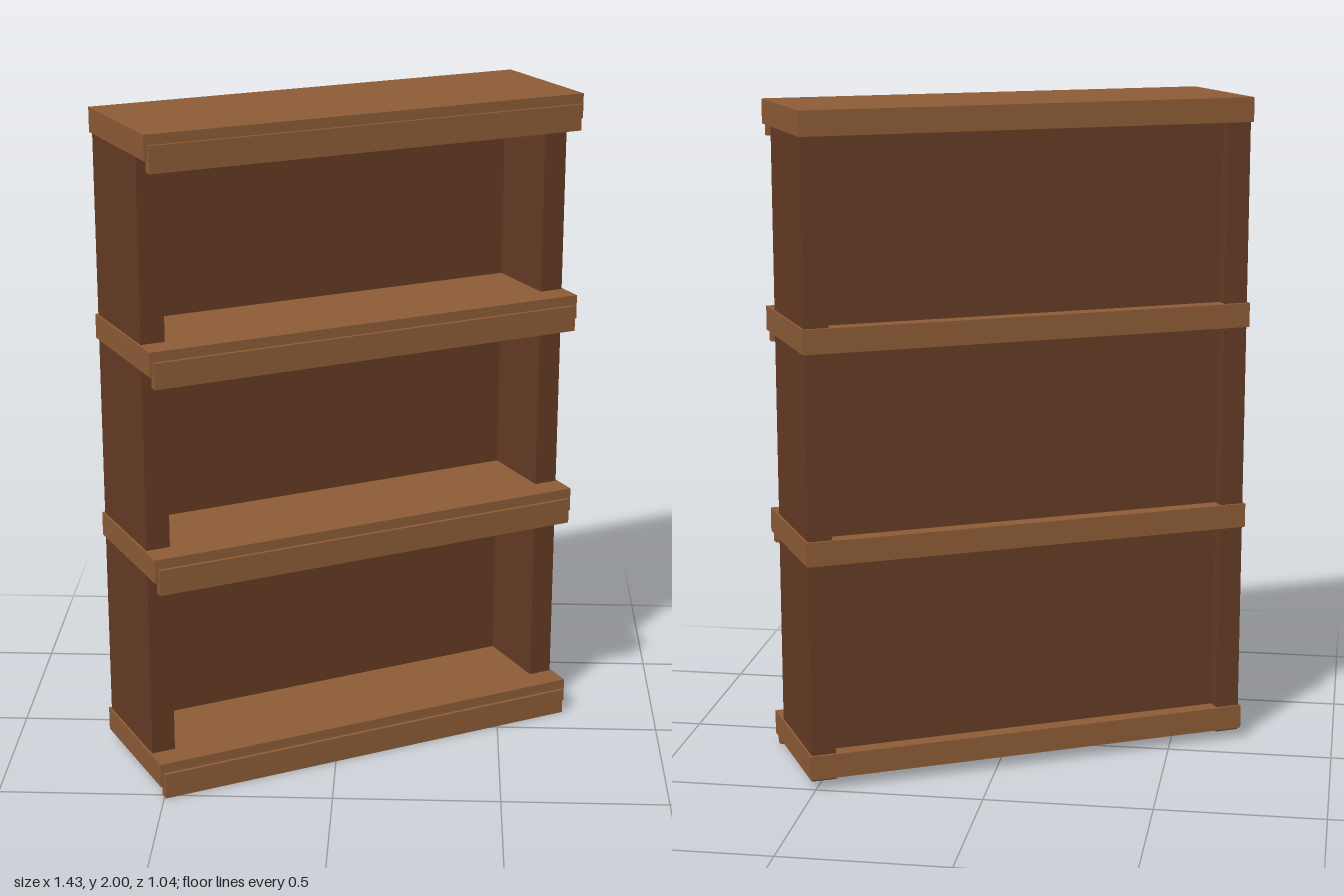
import * as THREE from 'three';

export function createModel() {
  const lightWood = new THREE.MeshStandardMaterial({ color: 0x8f5d37 });
  lightWood.name = 'lightWood';
  const darkWood = new THREE.MeshStandardMaterial({ color: 0x673c24 });
  darkWood.name = 'darkWood';

  const bookcase = new THREE.Group();
  bookcase.name = 'bookcase';

  // Box given by its minimum and maximum corners
  function board(name, material, [x0, y0, z0], [x1, y1, z1]) {
    const mesh = new THREE.Mesh(new THREE.BoxGeometry(x1 - x0, y1 - y0, z1 - z0), material);
    mesh.position.set((x0 + x1) / 2, (y0 + y1) / 2, (z0 + z1) / 2);
    mesh.name = name;
    bookcase.add(mesh);
  }

  // Shelves, each with a lower trim strip set into its front edge
  for (const top of [0.108, 0.76, 1.384, 2.0]) {
    board('shelf', lightWood, [-0.693, top - 0.073, -0.218], [0.693, top, 0.218]);
    board('shelfTrim', lightWood, [-0.682, top - 0.108, 0.202], [0.682, top - 0.03, 0.229]);
  }

  // Side panels, reaching just below the bottom shelf
  board('leftSide', darkWood, [0.614, 0.028, -0.209], [0.687, 1.96, 0.137]);
  board('rightSide', darkWood, [-0.687, 0.028, -0.209], [-0.614, 1.96, 0.137]);

  // Back panel, recessed between the sides
  board('backPanel', darkWood, [-0.63, 0.06, -0.17], [0.63, 1.96, -0.108]);

  // The whole bookcase stands turned on the floor
  bookcase.rotation.y = THREE.MathUtils.degToRad(28);
  const model = new THREE.Group();
  model.name = 'model';
  model.add(bookcase);
  return model;
}
